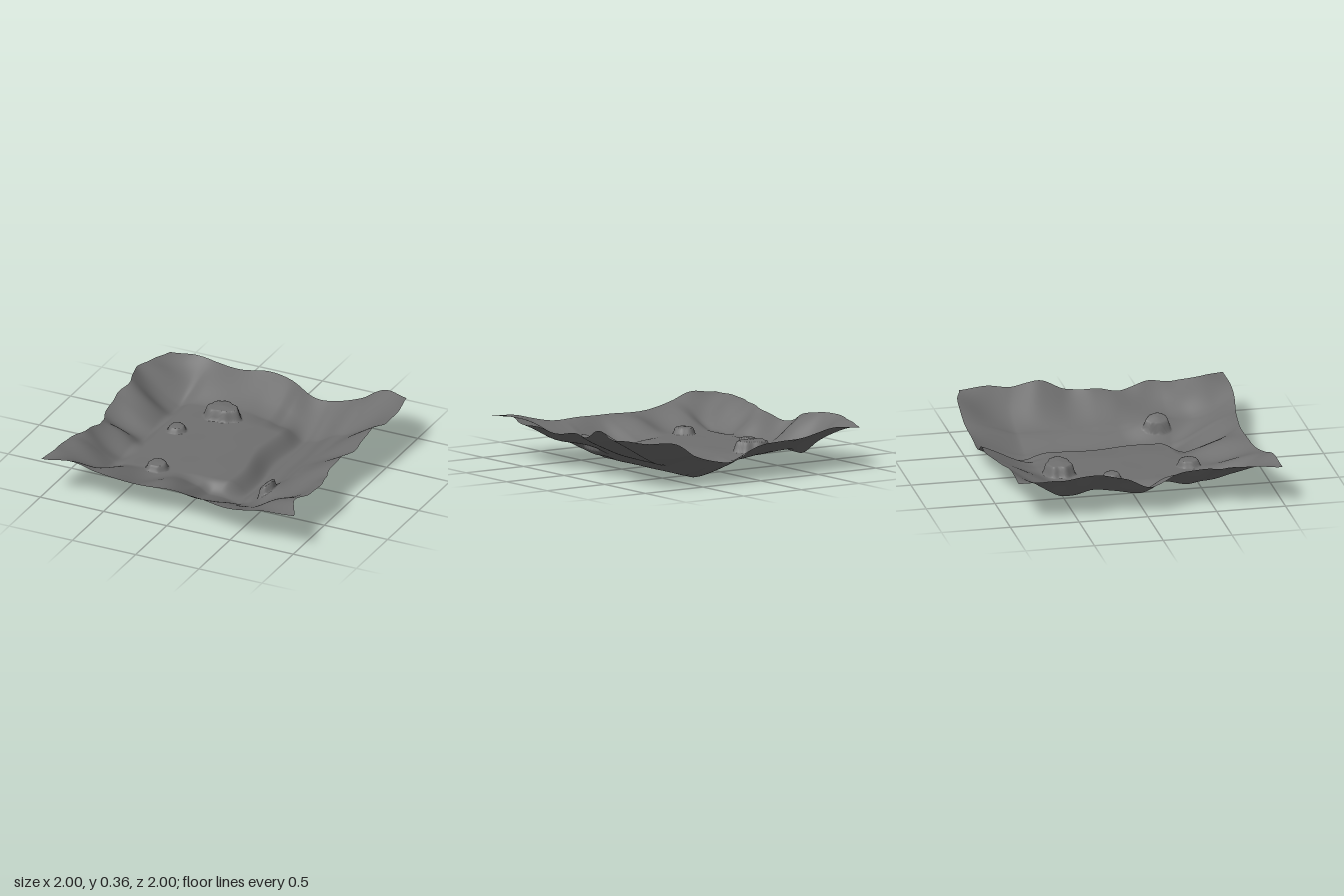
import * as THREE from 'three';

// Smooth curve through evenly spaced samples, t in -1..1
function curve(samples) {
  const n = samples.length - 1;
  const at = i => samples[Math.min(n, Math.max(0, i))];
  return t => {
    const f = (t + 1) / 2 * n, i = Math.min(n - 1, Math.floor(f)), k = f - i;
    const a = at(i - 1), b = at(i), c = at(i + 1), d = at(i + 2);
    return b + 0.5 * k * (c - a + k * (2 * a - 5 * b + 4 * c - d + k * (3 * (b - c) + d - a)));
  };
}
const ramp = (a, b, t) => Math.min(1, Math.max(0, (t - a) / (b - a)));
const smooth = (a, b, t) => { const k = ramp(a, b, t); return k * k * (3 - 2 * k); };
// Ramp with a rounded foot
const slope = (a, b, t) => { const k = ramp(a, b, t); return 1.15 * k * k / (k + 0.15); };
const lerp = THREE.MathUtils.lerp;

// Wavy outline of the sheet: left and right sides from back to front, then back and front ends
const sideOut = [
  curve([-0.92, -0.97, -1, -0.95, -0.97, -0.97, -0.9, -0.91, -0.96, -0.97, -1]),
  curve([0.94, 0.98, 0.97, 0.95, 0.93, 0.89, 0.89, 0.95, 0.94, 0.91, 1]),
];
const endOut = [
  curve([-0.92, -0.925, -0.93, -0.95, -1, -0.985, -0.97, -0.97, -0.99, -0.995, -0.94]),
  curve([0.98, 0.965, 0.945, 0.92, 0.91, 0.9, 0.92, 0.95, 0.985, 0.995, 0.99]),
];
// Rim heights along the same four edges
const sideRim = [
  curve([0.3, 0.32, 0.335, 0.33, 0.3, 0.22, 0.27, 0.3, 0.31, 0.32, 0.31]),
  curve([0.35, 0.345, 0.33, 0.365, 0.3, 0.3, 0.27, 0.3, 0.29, 0.33, 0.31]),
];
const endRim = [
  curve([0.3, 0.32, 0.3, 0.27, 0.28, 0.25, 0.17, 0.18, 0.24, 0.33, 0.35]),
  curve([0.31, 0.33, 0.28, 0.24, 0.24, 0.24, 0.24, 0.23, 0.26, 0.29, 0.31]),
];

// Valley floor, across the width
const floorLine = [[-1, 0.09], [-0.68, 0.085], [-0.54, 0.13], [-0.2, 0.125], [0, 0.085],
  [0.1, 0.04], [0.3, 0.01], [0.37, 0.03], [0.58, 0.12], [1, 0.125]];
function floorHeight(x, z) {
  let y = floorLine[0][1];
  for (let i = 1; i < floorLine.length; i++) {
    const [x0, y0] = floorLine[i - 1], [x1, y1] = floorLine[i];
    if (x >= x0) y = lerp(y0, y1, smooth(x0, x1, x));
  }
  // Raised plateau ending in a winding step
  const edge = 0.3 + 0.02 * Math.sin(z * 9) + 0.03 * z;
  const front = 0.52 - 0.25 * x + 0.015 * Math.sin(x * 14);
  const plateau = smooth(edge, edge - 0.14, x) * smooth(front, front - 0.13, z)
    * smooth(-0.68, -0.52, x) * smooth(-0.78, -0.45, z);
  // Low swell on the far side of the trench
  const swell = 0.04 * smooth(0.28, 0, Math.hypot(x - 0.56, z - 0.4));
  return lerp(y, 0.13 - 0.02 * smooth(-0.1, 0.25, x), plateau) + swell;
}

// Flat-topped boulders swelling out of the ground
const boulders = [
  { x: -0.29, z: -0.49, rx: 0.135, rz: 0.105, h: 0.085, rough: 0.09 },
  { x: -0.485, z: -0.15, rx: 0.065, rz: 0.066, h: 0.04, rough: 0.05 },
  { x: -0.35, z: 0.44, rx: 0.077, rz: 0.08, h: 0.05, rough: 0.04 },
  { x: 0.5, z: 0.4, rx: 0.052, rz: 0.096, h: 0.065, rough: 0.05 },
];
function boulderHeight(x, z) {
  let y = 0;
  for (const b of boulders) {
    const dx = (x - b.x) / b.rx, dz = (z - b.z) / b.rz, a = Math.atan2(dz, dx);
    const r = Math.hypot(dx, dz) / (1 + b.rough * (Math.sin(3 * a + 1) + 0.5 * Math.sin(7 * a)));
    y += b.h * smooth(1.05, 0.8, r) * (1 - 0.12 * r);
  }
  return y;
}

// Ground rising from the floor to the rims, with gullies on the slopes
function groundHeight(u, v, x, z) {
  const w = [slope(-0.64, -1, u), slope(0.6, 1, u), slope(-0.6, -1, v), slope(0.5, 1, v)];
  const rims = [sideRim[0](v), sideRim[1](v), endRim[0](u), endRim[1](u)];
  const sum = w.reduce((a, b) => a + b, 0);
  const rise = 1 - w.reduce((p, k) => p * (1 - k), 1);
  const rim = sum > 0 ? rims.reduce((a, r, i) => a + r * w[i], 0) / sum : 0;
  const gully = (1 - rise) * (w[0] * Math.sin(z * 15 + 0.7 + x * 2)
    + 0.4 * w[1] * Math.sin(z * 11)
    + 0.4 * w[2] * Math.sin(x * 12 + 1)
    - 0.7 * w[3] * Math.sin(x * 14 * (1.35 - 0.5 * z)));
  const grain = 0.004 * Math.sin(x * 13 + z * 5) * Math.sin(z * 11 - x * 4);
  return lerp(floorHeight(x, z), rim, rise) + 0.13 * gully + grain * (0.4 + rise)
    + boulderHeight(x, z);
}

export function createModel() {
  const group = new THREE.Group();
  group.name = 'terrain';

  const geometry = new THREE.PlaneGeometry(2, 2, 220, 220).rotateX(-Math.PI / 2);
  const pos = geometry.attributes.position;
  for (let i = 0; i < pos.count; i++) {
    const u = pos.getX(i), v = pos.getZ(i);
    // Small ripples fade in towards the outline
    const ripple = 0.006 * Math.sin(v * 31) * u ** 6 * (1 - v * v);
    const x = lerp(sideOut[0](v), sideOut[1](v), (u + 1) / 2) + ripple;
    const z = lerp(endOut[0](u), endOut[1](u), (v + 1) / 2);
    pos.setXYZ(i, x, Math.max(0, groundHeight(u, v, x, z)), z);
  }
  geometry.computeVertexNormals();

  const material = new THREE.MeshStandardMaterial({ color: 0x707070, side: THREE.DoubleSide });
  const ground = new THREE.Mesh(geometry, material);
  ground.name = 'ground';
  group.add(ground);
  return group;
}
